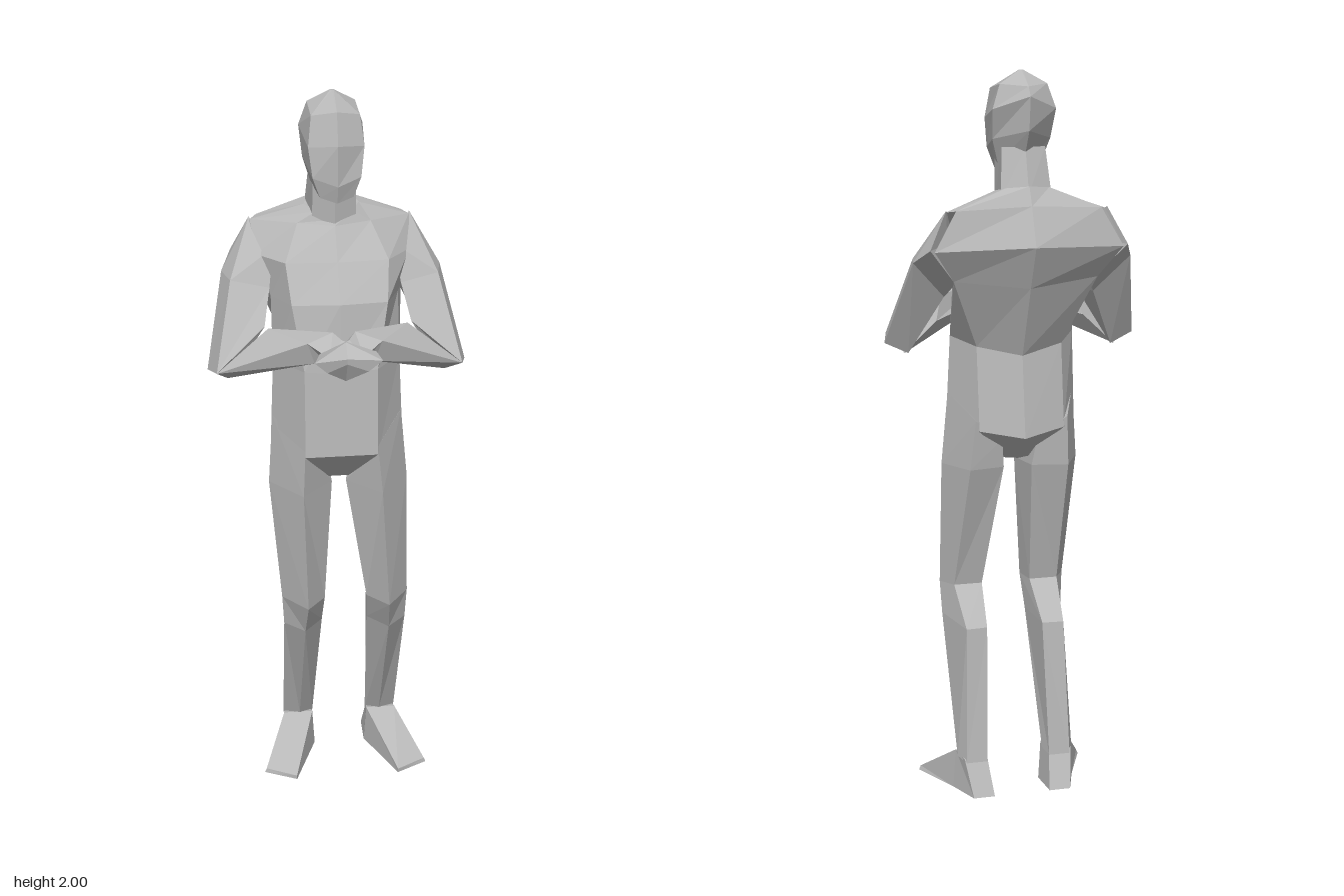
import * as THREE from 'three';

const clay = new THREE.MeshStandardMaterial({ color: 0xb8b8b8, flatShading: true });
clay.name = 'clay grey';

// Skin a list of equal-length rings of [x,y,z] points, with both ends capped
function loft(name, rings) {
  const pos = [];
  const tri = (a, b, c) => pos.push(...a, ...b, ...c);
  const n = rings[0].length;
  for (let r = 0; r < rings.length - 1; r++) {
    for (let i = 0; i < n; i++) {
      const j = (i + 1) % n, A = rings[r], B = rings[r + 1];
      tri(A[i], A[j], B[j]);
      tri(A[i], B[j], B[i]);
    }
  }
  const cap = (ring, flip) => {
    const c = [0, 1, 2].map(k => ring.reduce((s, p) => s + p[k], 0) / n);
    ring.forEach((p, i) => {
      const q = ring[(i + 1) % n];
      flip ? tri(c, q, p) : tri(c, p, q);
    });
  };
  cap(rings[0], true);
  cap(rings[rings.length - 1], false);

  // Turn the faces outward when the enclosed volume is negative
  let volume = 0;
  const a = new THREE.Vector3(), b = new THREE.Vector3(), c = new THREE.Vector3();
  for (let i = 0; i < pos.length; i += 9) {
    a.fromArray(pos, i); b.fromArray(pos, i + 3); c.fromArray(pos, i + 6);
    volume += a.dot(b.cross(c));
  }
  if (volume < 0) {
    for (let i = 0; i < pos.length; i += 9) {
      for (let k = 0; k < 3; k++) {
        [pos[i + 3 + k], pos[i + 6 + k]] = [pos[i + 6 + k], pos[i + 3 + k]];
      }
    }
  }
  const geo = new THREE.BufferGeometry();
  geo.setAttribute('position', new THREE.Float32BufferAttribute(pos, 3));
  geo.computeVertexNormals();
  const mesh = new THREE.Mesh(geo, clay);
  mesh.name = name;
  return mesh;
}

// Complete a half ring (front centre to back centre) by mirroring it in x
const whole = half => [...half, ...half.slice(1, -1).reverse().map(([x, y, z]) => [-x, y, z])];
const mirrored = (rings, s) => rings.map(r => r.map(([x, y, z]) => [s * x, y, z]));
// Legs stand slightly toward the model's left below the hips
const stance = rings => rings.map(r => r.map(([x, y, z]) =>
  [x + 0.02 * THREE.MathUtils.clamp((1 - y) / 0.45, 0, 1), y, z]));

// Half rings: front centre, front side, side, back side, back centre
const torso = [
  [[0, 0.94, 0.03], [0.03, 0.94, 0.03], [0.04, 0.94, 0], [0.04, 0.94, -0.06], [0, 0.94, -0.08]],
  [[0, 1.035, 0.115], [0.1, 1.035, 0.115], [0.185, 1.03, 0], [0.12, 1.03, -0.12], [0, 1.01, -0.155]],
  [[0, 1.27, 0.1], [0.1, 1.28, 0.1], [0.175, 1.28, -0.01], [0.12, 1.26, -0.09], [0, 1.235, -0.125]],
  [[0, 1.46, 0.08], [0.13, 1.46, 0.068], [0.175, 1.45, -0.05], [0.2, 1.45, -0.16], [0, 1.43, -0.205]],
  [[0, 1.56, 0.02], [0.14, 1.56, 0.01], [0.21, 1.56, -0.08], [0.26, 1.535, -0.2], [0, 1.545, -0.257]],
  [[0, 1.645, -0.035], [0.1, 1.65, -0.06], [0.22, 1.635, -0.16], [0.2, 1.64, -0.19], [0, 1.65, -0.215]],
  [[0, 1.66, -0.045], [0.05, 1.68, -0.06], [0.075, 1.685, -0.12], [0.06, 1.695, -0.17], [0, 1.7, -0.19]],
];

// Half rings: front, front side, back side, back
const neck = [
  [[0, 1.63, -0.04], [0.06, 1.65, -0.06], [0.07, 1.67, -0.16], [0, 1.68, -0.185]],
  [[0, 1.78, -0.03], [0.058, 1.78, -0.05], [0.06, 1.8, -0.13], [0, 1.8, -0.15]],
];
const head = [
  [[0, 1.722, 0.015], [0.045, 1.735, 0], [0.06, 1.755, -0.09], [0, 1.75, -0.13]],
  [[0, 1.77, 0.028], [0.065, 1.79, 0.005], [0.08, 1.82, -0.11], [0, 1.845, -0.188]],
  [[0, 1.88, 0.03], [0.075, 1.87, -0.01], [0.087, 1.9, -0.14], [0, 1.935, -0.2]],
  [[0, 1.965, 0.003], [0.065, 1.95, -0.03], [0.065, 1.965, -0.13], [0, 1.96, -0.18]],
  [[0, 2, -0.1], [0.005, 2, -0.103], [0.005, 2, -0.108], [0, 2, -0.11]],
];

// Rings: inner front, top front, outer, underside
const upperArm = [
  [[0.165, 1.58, -0.07], [0.222, 1.64, -0.17], [0.272, 1.54, -0.2], [0.19, 1.44, -0.14]],
  [[0.18, 1.48, -0.03], [0.285, 1.5, -0.045], [0.303, 1.5, -0.13], [0.21, 1.4, -0.09]],
  [[0.2, 1.39, 0.03], [0.335, 1.28, 0.08], [0.355, 1.265, 0.003], [0.29, 1.235, -0.003]],
];
const forearm = [
  [[0.19, 1.385, 0.03], [0.335, 1.28, 0.08], [0.3, 1.235, 0], [0.21, 1.32, 0]],
  [[0.03, 1.41, 0.15], [0.1, 1.39, 0.175], [0.08, 1.33, 0.165], [0, 1.37, 0.14]],
];
const hand = [
  forearm[1],
  [[0.01, 1.4, 0.185], [0.045, 1.36, 0.215], [0, 1.288, 0.195], [-0.02, 1.35, 0.17]],
  [[-0.075, 1.385, 0.24], [-0.09, 1.365, 0.255], [-0.055, 1.33, 0.24], [-0.07, 1.36, 0.215]],
];

// Rings: outer, front, inner, back inner, back outer
const thigh = [
  [[0.18, 1.12, 0], [0.1, 1.06, 0.113], [0.03, 0.98, 0], [0.05, 1, -0.1], [0.13, 1.06, -0.12]],
  [[0.195, 0.92, 0], [0.11, 0.92, 0.12], [0.02, 0.92, 0.02], [0.04, 0.92, -0.09], [0.14, 0.92, -0.11]],
  [[0.18, 0.57, 0.03], [0.115, 0.575, 0.13], [0.06, 0.57, 0.05], [0.07, 0.57, -0.02], [0.15, 0.57, -0.02]],
];
const shin = [
  thigh[2],
  [[0.175, 0.48, 0.02], [0.12, 0.48, 0.08], [0.065, 0.48, 0.01], [0.08, 0.47, -0.12], [0.14, 0.47, -0.125]],
  [[0.167, 0.1, -0.12], [0.12, 0.11, -0.095], [0.08, 0.1, -0.12], [0.09, 0.09, -0.16], [0.15, 0.09, -0.16]],
];
// Rings: sole inner, sole outer, top outer, top inner
const foot = [
  [[0.08, 0, -0.2], [0.14, 0, -0.2], [0.155, 0.1, -0.155], [0.09, 0.1, -0.155]],
  [[0.075, 0, -0.1], [0.175, 0, -0.1], [0.167, 0.11, -0.098], [0.082, 0.11, -0.098]],
  [[0.15, 0, 0.1], [0.24, 0, 0.05], [0.235, 0.012, 0.05], [0.15, 0.012, 0.1]],
];

export function createModel() {
  const model = new THREE.Group();
  model.name = 'standing figure';
  model.add(
    loft('torso', torso.map(whole)),
    loft('neck', neck.map(whole)),
    loft('head', head.map(whole)),
  );
  const armParts = { UpperArm: upperArm, Forearm: forearm, Hand: hand };
  const legParts = { Thigh: thigh, Shin: shin, Foot: foot };
  for (const [side, s] of [['left', 1], ['right', -1]]) {
    for (const [part, rings] of Object.entries(armParts)) {
      model.add(loft(side + part, mirrored(rings, s)));
    }
    for (const [part, rings] of Object.entries(legParts)) {
      model.add(loft(side + part, stance(mirrored(rings, s))));
    }
  }
  return model;
}
